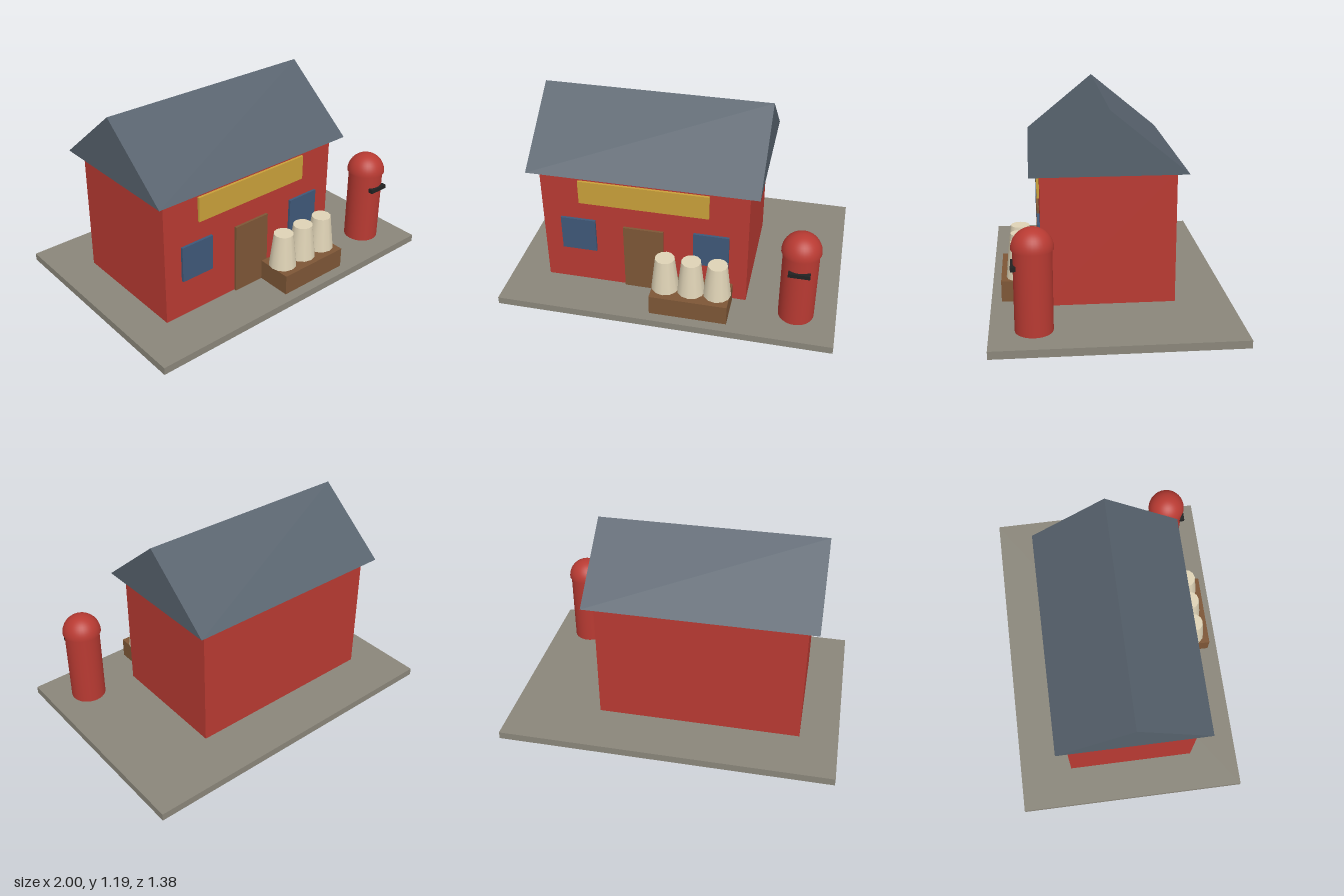
import * as THREE from 'three';

const mat = (color, side = THREE.FrontSide) => new THREE.MeshStandardMaterial({ color, side });

export function createModel() {
  const model = new THREE.Group();
  const red = mat(0xb83a32), wood = mat(0x7d5636), glass = mat(0x3f5878);

  const add = (name, geometry, material, x = 0, y = 0, z = 0) => {
    const mesh = new THREE.Mesh(geometry, material);
    mesh.name = name;
    mesh.position.set(x, y, z);
    model.add(mesh);
    return mesh;
  };
  // Box given by its lower and upper corners
  const box = (name, material, [x0, y0, z0], [x1, y1, z1]) =>
    add(name, new THREE.BoxGeometry(x1 - x0, y1 - y0, z1 - z0), material,
      (x0 + x1) / 2, (y0 + y1) / 2, (z0 + z1) / 2);

  // Ground slab and shop walls
  const floor = 0.045;
  box('groundSlab', mat(0x8a867a), [-1, 0, -0.69], [1, floor, 0.69]);
  box('walls', red, [-0.77, floor, -0.37], [0.46, 0.82, 0.4]);

  // Gabled roof: triangle extruded along x
  const gable = new THREE.Shape([
    new THREE.Vector2(-0.445, 0), new THREE.Vector2(0.445, 0), new THREE.Vector2(0, 0.365),
  ]);
  const roof = new THREE.ExtrudeGeometry(gable, { depth: 1.35, bevelEnabled: false });
  roof.rotateY(Math.PI / 2);
  add('roof', roof, mat(0x56616c), -0.83, 0.82, 0.015);

  // Shop front
  box('signBoard', mat(0xc9a03a), [-0.54, 0.62, 0.39], [0.23, 0.77, 0.415]);
  box('door', wood, [-0.28, floor, 0.39], [-0.04, 0.48, 0.415]);
  for (const x of [-0.66, 0.14]) {
    box('window', glass, [x, 0.28, 0.39], [x + 0.21, 0.5, 0.415]);
  }

  // Crate with three tapered pots on top
  box('crate', wood, [-0.08, floor, 0.415], [0.38, 0.17, 0.63]);
  const pot = new THREE.CylinderGeometry(0.058, 0.083, 0.213, 12);
  const cream = mat(0xdfd3b6);
  for (const x of [-0.005, 0.15, 0.305]) add('pot', pot, cream, x, 0.277, 0.517);

  // Pillar box: body, domed cap and posting slot
  const px = 0.765, pz = 0.447;
  add('pillarBody', new THREE.CylinderGeometry(0.105, 0.105, 0.465, 32), red, px, floor + 0.2325, pz);
  add('pillarCap', new THREE.SphereGeometry(0.115, 32, 12, 0, Math.PI * 2, 0, Math.PI / 2),
    mat(0xb83a32, THREE.DoubleSide), px, 0.51, pz);
  box('pillarSlot', mat(0x222222), [0.705, 0.405, 0.535], [0.83, 0.43, 0.565]);

  return model;
}
